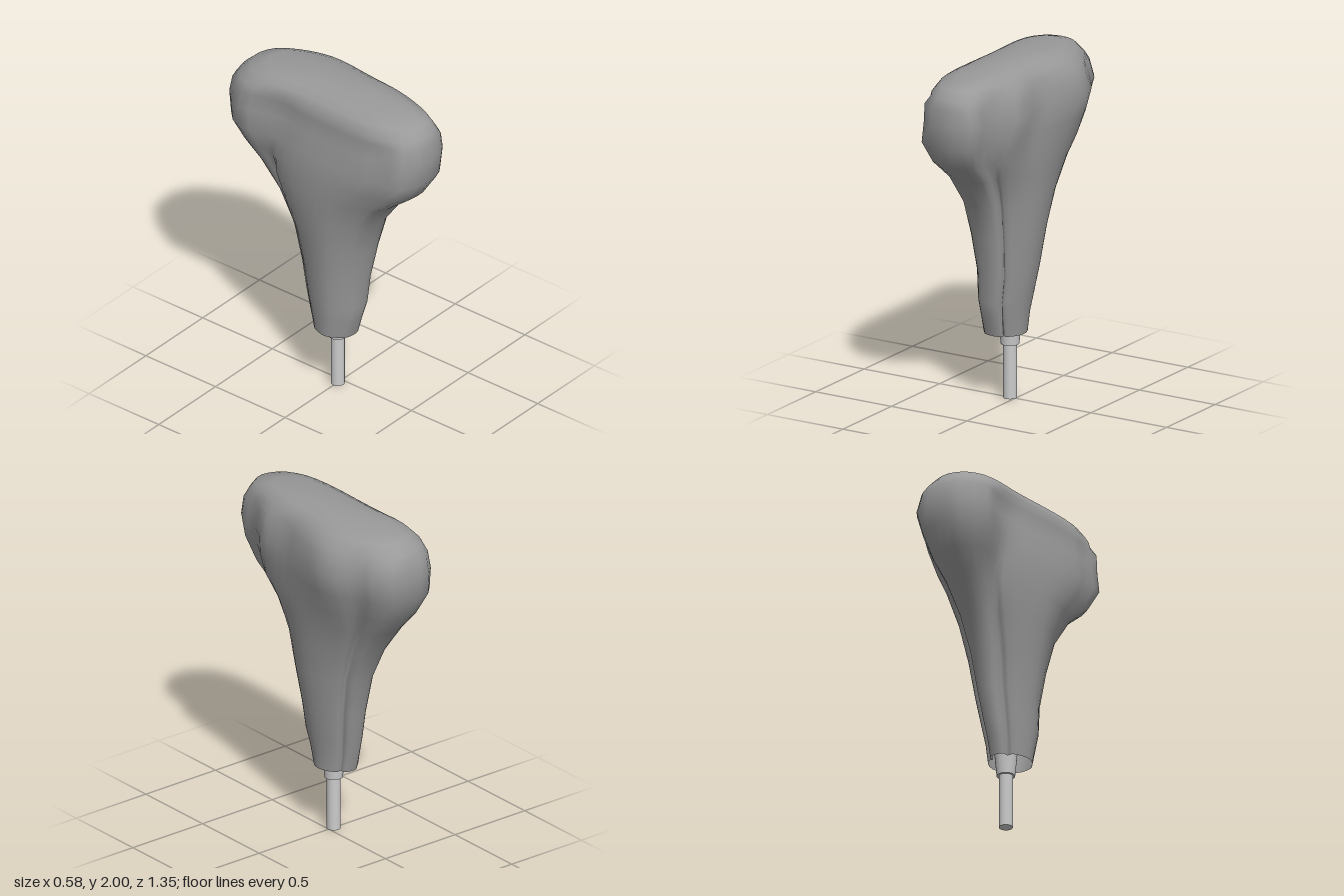
import * as THREE from 'three';

// Outlines run from the front (+z) round by +x to the back and return by -x.
const crownOutline = [
  [-.03, .675], [.09, .65], [.14, .6], [.155, .48], [.23, .33], [.24, .25],
  [.23, .11], [.25, 0], [.28, -.16], [.29, -.27], [.26, -.38], [.19, -.49],
  [.16, -.57], [.08, -.66], [-.05, -.675], [-.18, -.655], [-.28, -.51], [-.25, -.38],
  [-.225, -.24], [-.24, -.1], [-.25, .1], [-.25, .34], [-.23, .45], [-.205, .61],
];
// Pleated neck: a ridge front and back, with creases beside the rounded side panels
const neckOutline = [
  [-.06, .31], [0, .305], [.045, .275], [.045, .225], [.075, .245], [.125, .19],
  [.165, .1], [.18, 0], [.165, -.11], [.13, -.2], [.085, -.26], [.04, -.25],
  [.04, -.305], [.01, -.345], [-.06, -.36], [-.11, -.345], [-.14, -.305], [-.14, -.235],
  [-.2, -.235], [-.25, -.12], [-.27, .03], [-.24, .14], [-.195, .22], [-.155, .28],
];

// Each level: y, xMin, xMax, zMin, zMax, blend from neck to crown, smoothing passes
const levels = [
  [.39, -.18, .065, -.135, .14, 0, 0],
  [.5, -.19, .075, -.16, .17, 0, 0],
  [.6, -.2, .095, -.185, .198, 0, 0],
  [.77, -.21, .125, -.22, .21, 0, 0],
  [1, -.24, .16, -.275, .26, 0, 0],
  [1.2, -.27, .183, -.37, .32, .05, 0],
  [1.37, -.29, .205, -.49, .44, .25, 0],
  [1.49, -.29, .23, -.59, .59, .55, 0],
  [1.62, -.29, .257, -.655, .675, .85, 0],
  [1.75, -.29, .29, -.675, .675, 1, 0],
  [1.85, -.28, .26, -.655, .675, 1, 0],
  [1.9, -.26, .24, -.63, .645, 1, 1],
  [1.955, -.225, .195, -.57, .605, 1, 2],
  [1.983, -.17, .145, -.47, .47, 1, 3],
  [2, -.08, .07, -.2, .23, 1, 5],
  [2, -.01, -.01, 0, 0, 1, 5],
];

// Rescale points so they span 0..1 in both directions
function normalise(points) {
  const box = new THREE.Box2().setFromPoints(points);
  const size = box.getSize(new THREE.Vector2());
  return points.map(p => p.clone().sub(box.min).divide(size));
}

// Move each point halfway to the middle of its neighbours
function soften(points) {
  const n = points.length;
  return points.map((p, i) => points[(i + 1) % n].clone().add(points[(i + n - 1) % n])
    .multiplyScalar(.5).lerp(p, .5));
}

function ringAt([y, xMin, xMax, zMin, zMax, blend, passes], segments) {
  const neck = normalise(neckOutline.map(p => new THREE.Vector2(...p)));
  const crown = normalise(crownOutline.map(p => new THREE.Vector2(...p)));
  let mixed = neck.map((p, i) => p.clone().lerp(crown[i], blend));
  for (let i = 0; i < passes; i++) mixed = soften(mixed);
  mixed = normalise(mixed);
  const curve = new THREE.CatmullRomCurve3(mixed.map(p => new THREE.Vector3(p.x, 0, p.y)), true);
  return Array.from({ length: segments }, (_, i) => {
    const p = curve.getPoint(i / segments);
    return [xMin + p.x * (xMax - xMin), y, zMin + p.z * (zMax - zMin)];
  });
}

// Skin the cross-sections into one smooth surface
function loft(sections, segments) {
  const positions = sections.flatMap(s => ringAt(s, segments)).flat();
  const index = [];
  for (let j = 0; j < sections.length - 1; j++) {
    for (let i = 0; i < segments; i++) {
      const a = j * segments + i, b = j * segments + (i + 1) % segments;
      index.push(a, b, b + segments, a, b + segments, a + segments);
    }
  }
  const geometry = new THREE.BufferGeometry();
  geometry.setAttribute('position', new THREE.Float32BufferAttribute(positions, 3));
  geometry.setIndex(index);
  geometry.computeVertexNormals();
  // The collapsed last ring faces straight up
  const normal = geometry.attributes.normal;
  for (let i = normal.count - segments; i < normal.count; i++) normal.setXYZ(i, 0, 1, 0);
  return geometry;
}

export function createModel() {
  const group = new THREE.Group();
  const add = (name, geometry, color, side = THREE.FrontSide) => {
    const mesh = new THREE.Mesh(geometry, new THREE.MeshStandardMaterial({ color, side }));
    mesh.name = name;
    group.add(mesh);
    return mesh;
  };

  // Soft darker cover, open at its lower end
  add('cover', loft(levels, 48), 0x999999, THREE.DoubleSide);

  // Round shaft and the tapered collar at the mouth of the cover
  add('shaft', new THREE.CylinderGeometry(.039, .039, .4, 24), 0xcccccc).position.set(-.035, .2, 0);
  add('collar', new THREE.CylinderGeometry(.064, .052, .13, 24), 0xcccccc).position.set(-.035, .38, 0);

  return group;
}
